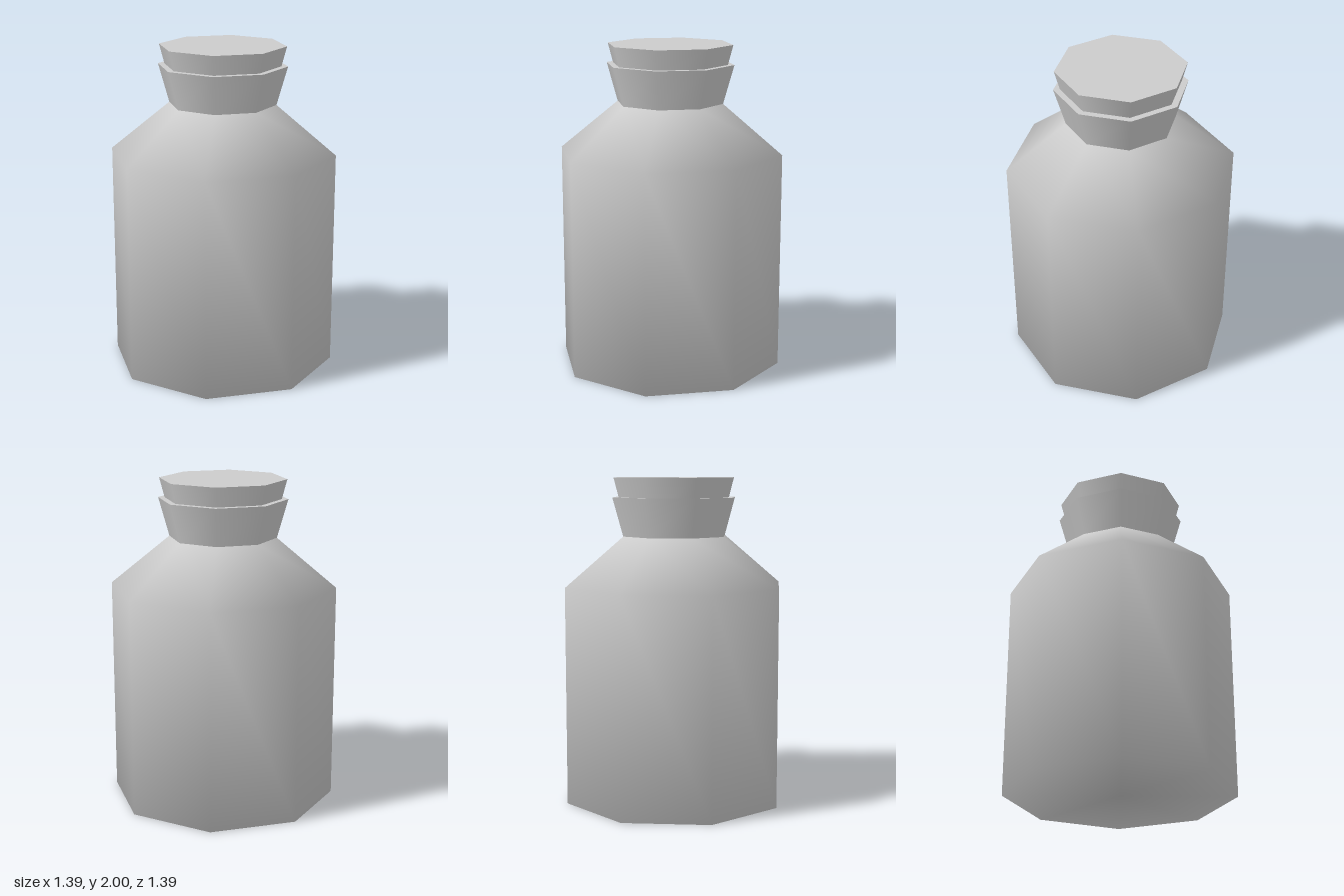
import * as THREE from 'three';

const SIDES = 8;

export function createModel() {
  const group = new THREE.Group();
  const material = new THREE.MeshStandardMaterial({ color: 0xcccccc });

  const add = (name, geometry, y = 0) => {
    const mesh = new THREE.Mesh(geometry, material);
    mesh.name = name;
    mesh.position.y = y;
    group.add(mesh);
  };

  // Tapered eight-sided plug with flat ends
  const taper = (name, bottomRadius, topRadius, bottom, top) =>
    add(name, new THREE.CylinderGeometry(topRadius, bottomRadius, top - bottom, SIDES), (bottom + top) / 2);

  // Bottle body: base, wall and sloping shoulder, smooth all over
  const profile = [[0, 0], [0.697, 0], [0.697, 1.34], [0.33, 1.643]]
    .map(([r, y]) => new THREE.Vector2(r, y));
  add('body', new THREE.LatheGeometry(profile, SIDES));

  // Flared neck with a narrow flat rim
  taper('neck', 0.33, 0.397, 1.643, 1.88);

  // Stopper set into the neck
  taper('stopper', 0.325, 0.389, 1.76, 2);

  return group;
}
